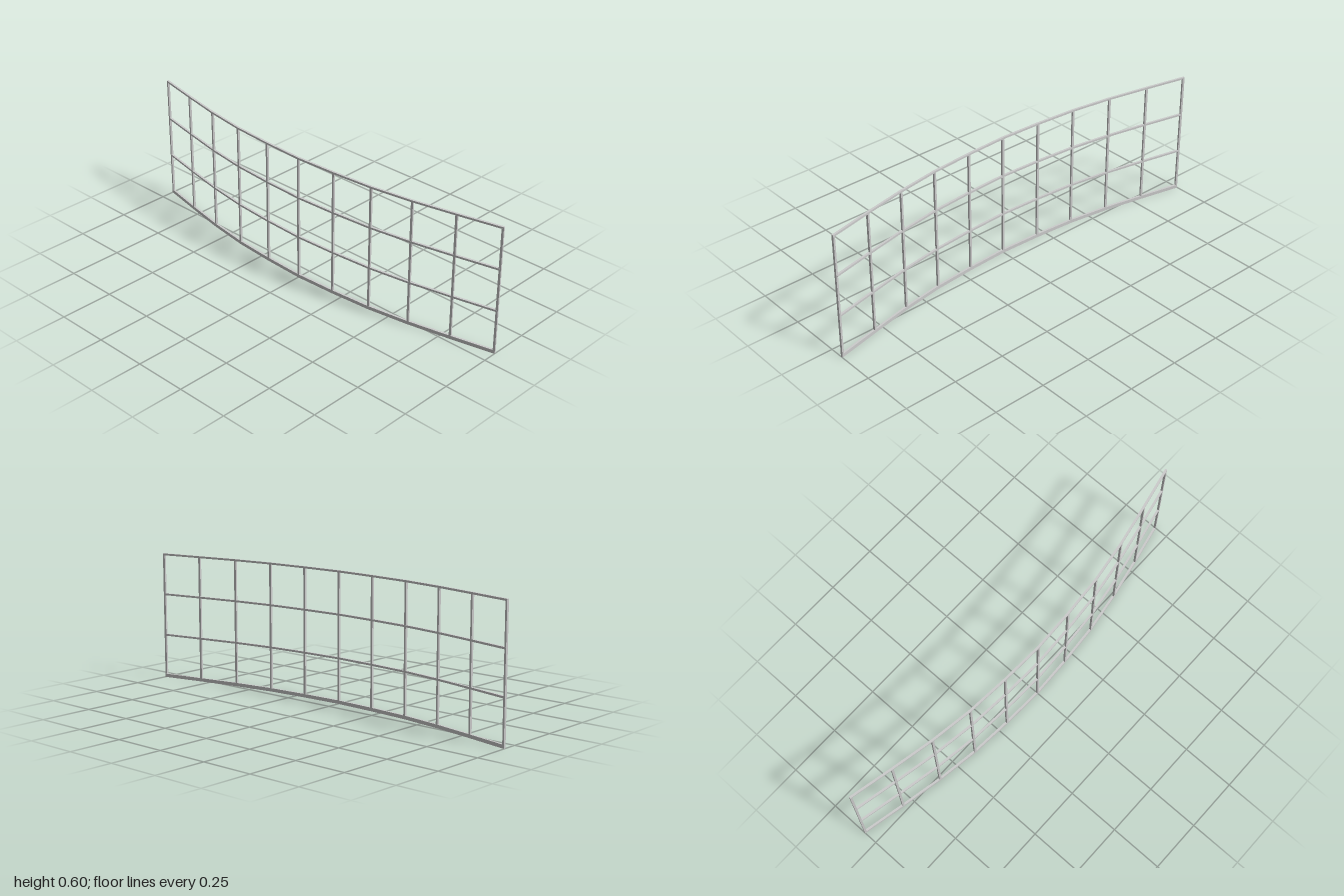
import * as THREE from 'three';

const T = 0.01;        // bar thickness
const TOP = 0.604;     // overall height
// depth of the bowed plan at each post, from the middle out to one end
const DEPTHS = [0.068, 0.06, 0.045, 0.0155, -0.0245, -0.0675];
const SPACING = 0.199;

export function createModel() {
  const group = new THREE.Group();
  group.name = 'curvedWindowFrame';
  const material = new THREE.MeshStandardMaterial({ color: 0xcccccc, flatShading: true });

  // plan points (x, z) from one end to the other
  const points = [];
  for (let i = -5; i <= 5; i++) points.push(new THREE.Vector2(i * SPACING, DEPTHS[Math.abs(i)]));

  // direction of the plan at each post
  const tangents = points.map((p, i) => {
    const a = points[Math.max(i - 1, 0)];
    const b = points[Math.min(i + 1, points.length - 1)];
    return b.clone().sub(a).normalize();
  });

  // mitred outline of the bowed rails, extruded upward
  const offset = (d) => points.map((p, i) =>
    new THREE.Vector2(p.x - tangents[i].y * d, -(p.y + tangents[i].x * d)));
  const outline = new THREE.Shape([...offset(T / 2), ...offset(-T / 2).reverse()]);

  function addRail(name, bottom, height) {
    const geometry = new THREE.ExtrudeGeometry(outline, { depth: height, bevelEnabled: false });
    geometry.rotateX(-Math.PI / 2);
    const rail = new THREE.Mesh(geometry, material);
    rail.name = name;
    rail.position.y = bottom;
    group.add(rail);
  }
  addRail('bottomRail', 0, 0.016);
  addRail('lowerCrossRail', 0.204, 0.009);
  addRail('upperCrossRail', 0.402, 0.009);
  addRail('topRail', TOP - 0.009, 0.009);

  // upright posts, turned to follow the bow
  points.forEach((p, i) => {
    const isEnd = i === 0 || i === points.length - 1;
    const bottom = isEnd ? 0 : 0.012;
    const top = isEnd ? TOP : TOP - 0.004;
    const post = new THREE.Mesh(new THREE.BoxGeometry(T, top - bottom, T * 0.95), material);
    post.name = isEnd ? 'endPost' : 'mullion';
    post.position.set(p.x, (top + bottom) / 2, p.y);
    post.rotation.y = -Math.atan2(tangents[i].y, tangents[i].x);
    group.add(post);
  });

  return group;
}
